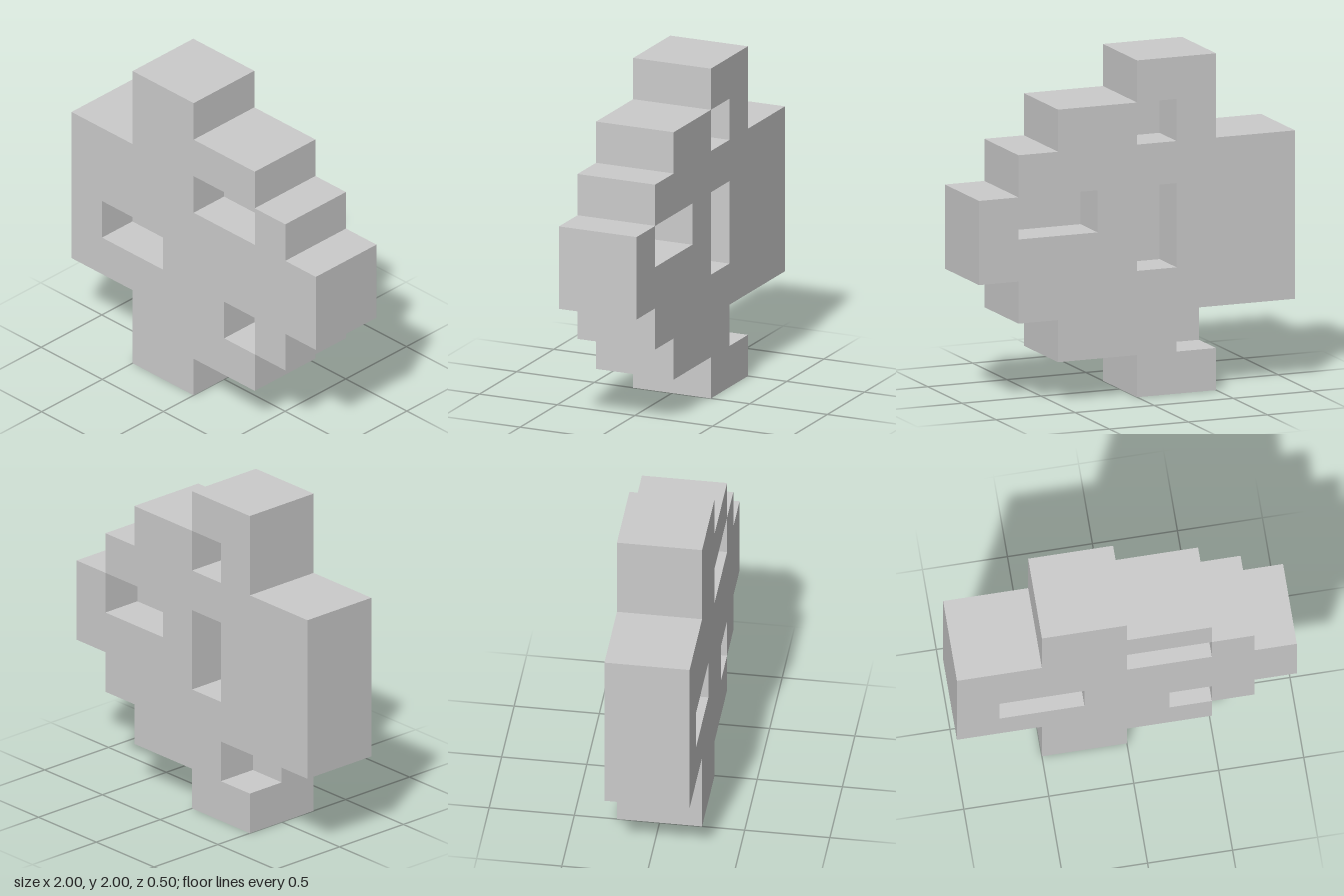
import * as THREE from 'three';

const LAYER = 0.25; // thickness of each of the two layers

const material = new THREE.MeshStandardMaterial({ color: 0xcccccc, flatShading: true });

// Stepped right edge, shared by both layers, from the base up to the shoulder
const steps = [
  [-0.5, 0], [0, 0], [0, 0.25], [0.5, 0.25], [0.5, 0.5], [0.75, 0.5], [0.75, 0.75],
  [1, 0.75], [1, 1.25], [0.75, 1.25], [0.75, 1.5], [0.5, 1.5], [0.5, 1.75], [0, 1.75],
];
// Side arm on the other edge
const arm = [[-0.5, 1.5], [-1, 1.5], [-1, 0.5]];

const toPoints = (list) => list.map(([x, y]) => new THREE.Vector2(x, y));

// Rectangular opening from x0,y0 to x1,y1
const pocket = ([x0, y0, x1, y1]) =>
  new THREE.Path(toPoints([[x0, y0], [x0, y1], [x1, y1], [x1, y0]]));

function layer(name, outline, pockets, z) {
  const shape = new THREE.Shape(toPoints(outline));
  shape.holes = pockets.map(pocket);
  const geometry = new THREE.ExtrudeGeometry(shape, { depth: LAYER, bevelEnabled: false });
  const mesh = new THREE.Mesh(geometry, material);
  mesh.name = name;
  mesh.position.z = z;
  return mesh;
}

export function createModel() {
  const group = new THREE.Group();
  group.name = 'steppedBlock';

  // Front layer with three pockets
  group.add(layer(
    'frontLayer',
    [...steps, [0, 2], [-0.5, 2], ...arm, [-0.5, 0.5]],
    [[0, 1.25, 0.5, 1.5], [-0.75, 0.75, -0.25, 1], [0.25, 0.5, 0.5, 0.75]],
    0,
  ));

  // Back layer: notched under the tower top and in the side of the foot, plus two pockets
  group.add(layer(
    'backLayer',
    [
      ...steps, [0, 1.5], [-0.25, 1.5], [-0.25, 1.75], [-0.5, 1.75],
      ...arm, [-0.25, 0.5], [-0.25, 0.25], [-0.5, 0.25],
    ],
    [[0.25, 1, 0.75, 1.25], [-0.25, 0.75, 0, 1.25]],
    -LAYER,
  ));

  // Rear half of the tower top, closing the upper notch into a pocket
  const towerTop = new THREE.Mesh(new THREE.BoxGeometry(0.5, 0.25, LAYER), material);
  towerTop.name = 'towerTop';
  towerTop.position.set(-0.25, 1.875, -LAYER / 2);
  group.add(towerTop);

  return group;
}
